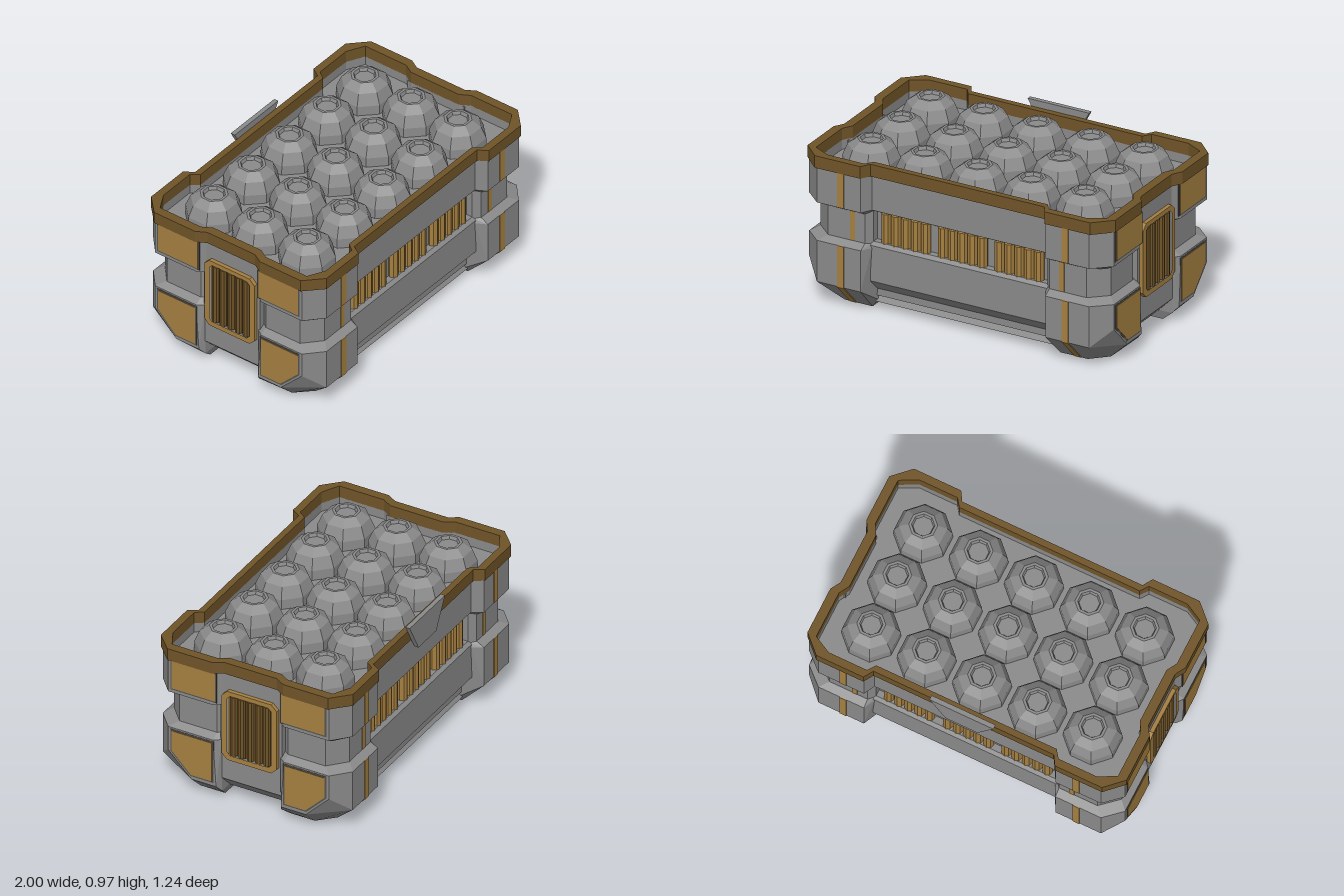
import * as THREE from 'three';
import { ConvexGeometry } from 'three/addons/geometries/ConvexGeometry.js';

const mat = (name, color) => {
  const m = new THREE.MeshStandardMaterial({ color });
  m.name = name;
  return m;
};

export function createModel() {
  const root = new THREE.Group();
  root.name = 'crate';
  const grey = mat('grey metal', 0x8a8a8a);
  const dark = mat('dark grey', 0x55534f);
  const tan = mat('tan', 0xa57f40);
  const brown = mat('brown', 0x6f5428);

  const add = (parent, name, geo, m) => {
    const mesh = new THREE.Mesh(geo, m);
    mesh.name = name;
    parent.add(mesh);
    return mesh;
  };
  const box = (x0, x1, y0, y1, z0, z1) =>
    new THREE.BoxGeometry(x1 - x0, y1 - y0, z1 - z0).translate((x0 + x1) / 2, (y0 + y1) / 2, (z0 + z1) / 2);
  const shape = (pts) => new THREE.Shape(pts.map((p) => new THREE.Vector2(p[0], p[1])));
  const extrude = (s, depth) => new THREE.ExtrudeGeometry(s, { depth, bevelEnabled: false });
  // prism along x from a (z, y) profile
  const prismX = (pts, x0, x1, hole) => {
    const s = shape(pts.map(([z, y]) => [-z, y]));
    if (hole) s.holes.push(shape(hole.map(([z, y]) => [-z, y])));
    return extrude(s, x1 - x0).rotateY(Math.PI / 2).translate(x0, 0, 0);
  };
  const rod = (r, len) => new THREE.CylinderGeometry(r, r, len, 8).toNonIndexed();
  const flat = (g) => { g.computeVertexNormals(); return g; };

  // stepped plan outline: end centre E, end X, corner front Z, centre front C
  const outline = (E, X, Z, C) => {
    const q = [[E, 0.17], [X, 0.23], [X, 0.52], [X - 0.105, Z], [0.6, Z], [0.565, C]];
    const r = [...q].reverse();
    return [...q, ...r.map(([x, z]) => [-x, z]), ...q.map(([x, z]) => [-x, -z]), ...r.map(([x, z]) => [x, -z])];
  };
  const ring = (outer, inner, y0, y1) => {
    const s = shape(outer);
    s.holes.push(shape(inner));
    return extrude(s, y1 - y0).rotateX(-Math.PI / 2).translate(0, y0, 0);
  };

  // upper shell: flared lower edge, vertical wall and underside
  const low = outline(0.91, 0.945, 0.57, 0.505);
  const full = outline(0.95, 0.99, 0.615, 0.55);
  const inner = outline(0.91, 0.945, 0.575, 0.527);
  const rings = [[0.615, low], [0.64, full], [0.86, full]];
  const pos = [];
  for (let k = 0; k < 2; k++) {
    const [ya, A] = rings[k], [yb, B] = rings[k + 1];
    A.forEach((p, i) => {
      const j = (i + 1) % A.length;
      const a = [p[0], ya, p[1]], b = [A[j][0], ya, A[j][1]];
      const c = [B[i][0], yb, B[i][1]], d = [B[j][0], yb, B[j][1]];
      pos.push(...a, ...c, ...b, ...b, ...c, ...d);
    });
  }
  const wall = new THREE.BufferGeometry();
  wall.setAttribute('position', new THREE.Float32BufferAttribute(pos, 3));
  add(root, 'upperShell', flat(wall), grey);
  add(root, 'upperUnderside', new THREE.ShapeGeometry(shape(low)).rotateX(Math.PI / 2).translate(0, 0.615, 0), grey);
  add(root, 'trayWall', ring(outline(0.945, 0.98, 0.605, 0.545), inner, 0.78, 0.858), grey);
  add(root, 'trayFloor', new THREE.ShapeGeometry(shape(outline(0.93, 0.96, 0.59, 0.54))).rotateX(-Math.PI / 2).translate(0, 0.8, 0), grey);
  add(root, 'rim', ring(outline(0.965, 1, 0.622, 0.565), inner, 0.855, 0.93), brown);
  add(root, 'core', box(-0.6, 0.6, 0.09, 0.78, -0.49, 0.49), grey);

  // octagonal domes in the tray
  const profile = [[0.168, 0.8], [0.166, 0.86], [0.136, 0.93], [0.082, 0.97], [0.066, 0.97], [0.058, 0.95], [0, 0.95]];
  const dome = flat(new THREE.LatheGeometry(profile.map((p) => new THREE.Vector2(...p)), 8)
    .rotateY(Math.PI / 8).toNonIndexed());
  for (let i = -2; i <= 2; i++) for (let k = -1; k <= 1; k++) {
    add(root, 'dome', dome, grey).position.set(i * 0.347, 0, k * 0.33);
  }

  // corner feet and recessed corner posts
  const plan = (y, X, Z, C) => [[0.565, y, C], [0.6, y, Z], [X - 0.105, y, Z], [X, y, Z - 0.095],
    [X, y, 0.23], [X - 0.03, y, 0.19], [0.565, y, 0.19]];
  const foot = [...plan(0.405, 0.99, 0.615, 0.55), ...plan(0.432, 0.945, 0.57, 0.52),
    [0.99, 0.1, 0.21], [0.99, 0.1, 0.37], [0.99, 0.25, 0.52], [0.885, 0.15, 0.615], [0.6, 0.15, 0.615],
    [0.885, 0, 0.21], [0.885, 0, 0.37], [0.79, 0, 0.465], [0.61, 0, 0.465], [0.61, 0, 0.21],
    [0.565, 0.06, 0.48], [0.565, 0.06, 0.19], [0.955, 0.06, 0.19]];
  const post = [...plan(0.42, 0.945, 0.567, 0.53), ...plan(0.63, 0.945, 0.567, 0.53)];
  const stripe = [[0.619, 0.405], [0.619, 0.147], [0.475, 0.003], [0.46, 0.01], [0.6, 0.16], [0.6, 0.405]];
  for (const sx of [1, -1]) for (const sz of [1, -1]) {
    const hull = (pts) => new ConvexGeometry(pts.map(([x, y, z]) => new THREE.Vector3(x * sx, y, z * sz)));
    add(root, 'cornerFoot', hull(foot), grey);
    add(root, 'cornerPost', hull(post), grey);
  }

  // long sides: lower panel, rod bank and stripes
  const panel = [[0.22, 0.44], [0.53, 0.44], [0.55, 0.42], [0.55, 0.2], [0.46, 0.1], [0.49, 0.05], [0.22, 0.05]];
  for (const turn of [0, Math.PI]) {
    const side = new THREE.Group();
    side.name = 'longSide';
    side.rotation.y = turn;
    root.add(side);
    add(side, 'lowerPanel', prismX([...panel].reverse(), -0.575, 0.575), grey);
    for (const g of [-0.368, 0, 0.368]) for (let i = -2; i <= 2; i++) {
      add(side, 'sideRod', flat(rod(0.031, 0.19)), tan).position.set(g + i * 0.064, 0.525, 0.503);
    }
    for (const s of [-1, 1]) {
      const x = s * 0.73;
      add(side, 'lowerStripe', prismX(stripe, x - 0.021, x + 0.021), tan);
      add(side, 'upperStripe', box(x - 0.021, x + 0.021, 0.645, 0.856, 0.612, 0.619), tan);
      add(side, 'postStripe', box(s * 0.68 - 0.016, s * 0.68 + 0.016, 0.435, 0.615, 0.563, 0.571), tan);
    }
  }

  // ends: centre wall, vent and inset panels
  const octagon = (w, y0, y1, c) => [[-w, y0 + c], [-w + c, y0], [w - c, y0], [w, y0 + c],
    [w, y1 - c], [w - c, y1], [-w + c, y1], [-w, y1 - c]];
  const endProfile = [[0.958, 0.85], [0.92, 0.85], [0.92, 0.79], [0.55, 0.79], [0.55, 0.05], [0.86, 0.05], [0.958, 0.15]];
  const panels = [
    ['upper', [[0.205, 0.66], [0.505, 0.66], [0.505, 0.856], [0.205, 0.856]],
      [[0.215, 0.67], [0.495, 0.67], [0.495, 0.856], [0.215, 0.856]]],
    ['lower', [[0.225, 0.12], [0.375, 0.12], [0.505, 0.25], [0.505, 0.395], [0.225, 0.395]],
      [[0.235, 0.13], [0.371, 0.13], [0.495, 0.254], [0.495, 0.385], [0.235, 0.385]]],
  ];
  for (const turn of [0, Math.PI]) {
    const end = new THREE.Group();
    end.name = 'end';
    end.rotation.y = turn;
    root.add(end);
    add(end, 'endWall', extrude(shape(endProfile), 0.4).translate(0, 0, -0.2), grey);
    add(end, 'ventFrame', prismX(octagon(0.178, 0.298, 0.755, 0.035), 0.95, 0.982, octagon(0.142, 0.33, 0.727, 0.02)), tan);
    add(end, 'ventBack', box(0.955, 0.961, 0.325, 0.73, -0.145, 0.145), brown);
    for (let i = -2; i <= 2; i++) {
      add(end, 'ventRod', flat(rod(0.022, 0.39)), brown).position.set(0.965, 0.528, i * 0.054);
    }
    for (const s of [1, -1]) for (const [name, border, face] of panels) {
      add(end, name + 'PanelBorder', prismX(border.map(([z, y]) => [s * z, y]), 0.987, 0.992), dark);
      add(end, name + 'Panel', prismX(face.map(([z, y]) => [s * z, y]), 0.987, 0.995), tan);
    }
  }

  // rods across the underside
  for (const g of [-0.368, 0, 0.368]) for (let i = -2; i <= 2; i++) {
    add(root, 'undersideRod', flat(rod(0.031, 0.44).rotateX(Math.PI / 2)), tan).position.set(g + i * 0.064, 0.09, 0);
  }

  // back tab
  const tab = shape([[-0.1, 0.79], [0.1, 0.79], [0.2, 0.972], [-0.2, 0.972]]);
  add(root, 'backTab', extrude(tab, 0.028).translate(0, 0, -0.592), grey);
  return root;
}
